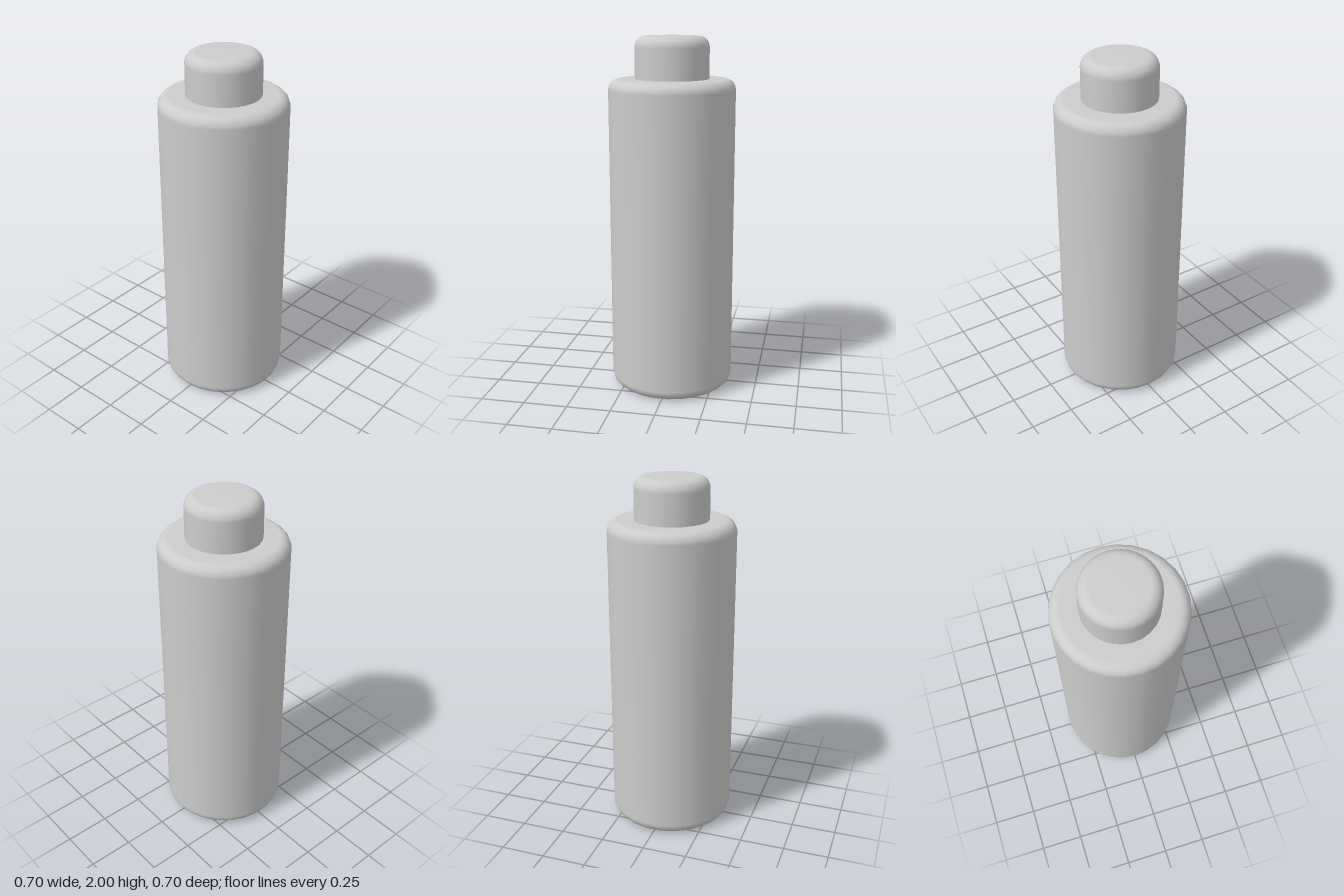
import * as THREE from 'three';

const SIDES = 26;
const STEPS = 6;

// Quarter-round corner points around (cx, cy), from angle a to a + 90 degrees
function fillet(cx, cy, r, a) {
  return Array.from({ length: STEPS + 1 }, (_, i) => {
    const t = a + (i / STEPS) * Math.PI / 2;
    return new THREE.Vector2(cx + r * Math.cos(t), cy + r * Math.sin(t));
  });
}

// Solid of revolution from a bottom-to-top profile
function turned(name, points, material) {
  const mesh = new THREE.Mesh(new THREE.LatheGeometry(points, SIDES, Math.PI / 2), material);
  mesh.name = name;
  return mesh;
}

export function createModel() {
  const grey = new THREE.MeshStandardMaterial({ color: 0xcccccc });
  grey.name = 'plain grey';

  const group = new THREE.Group();
  group.name = 'bottle';

  // Body: tall cylinder with rounded rims
  const R = 0.352, top = 1.77, round = 0.06;
  group.add(turned('body', [
    new THREE.Vector2(0, 0),
    ...fillet(R - round, round, round, -Math.PI / 2),
    ...fillet(R - round, top - round, round, 0),
    new THREE.Vector2(0, top),
  ], grey));

  // Cap: shorter cylinder, rounded on top, set into the shoulder
  const r = 0.205, capTop = 2;
  group.add(turned('cap', [
    new THREE.Vector2(r, top - 0.01),
    ...fillet(r - round, capTop - round, round, 0),
    new THREE.Vector2(0, capTop),
  ], grey));

  return group;
}
